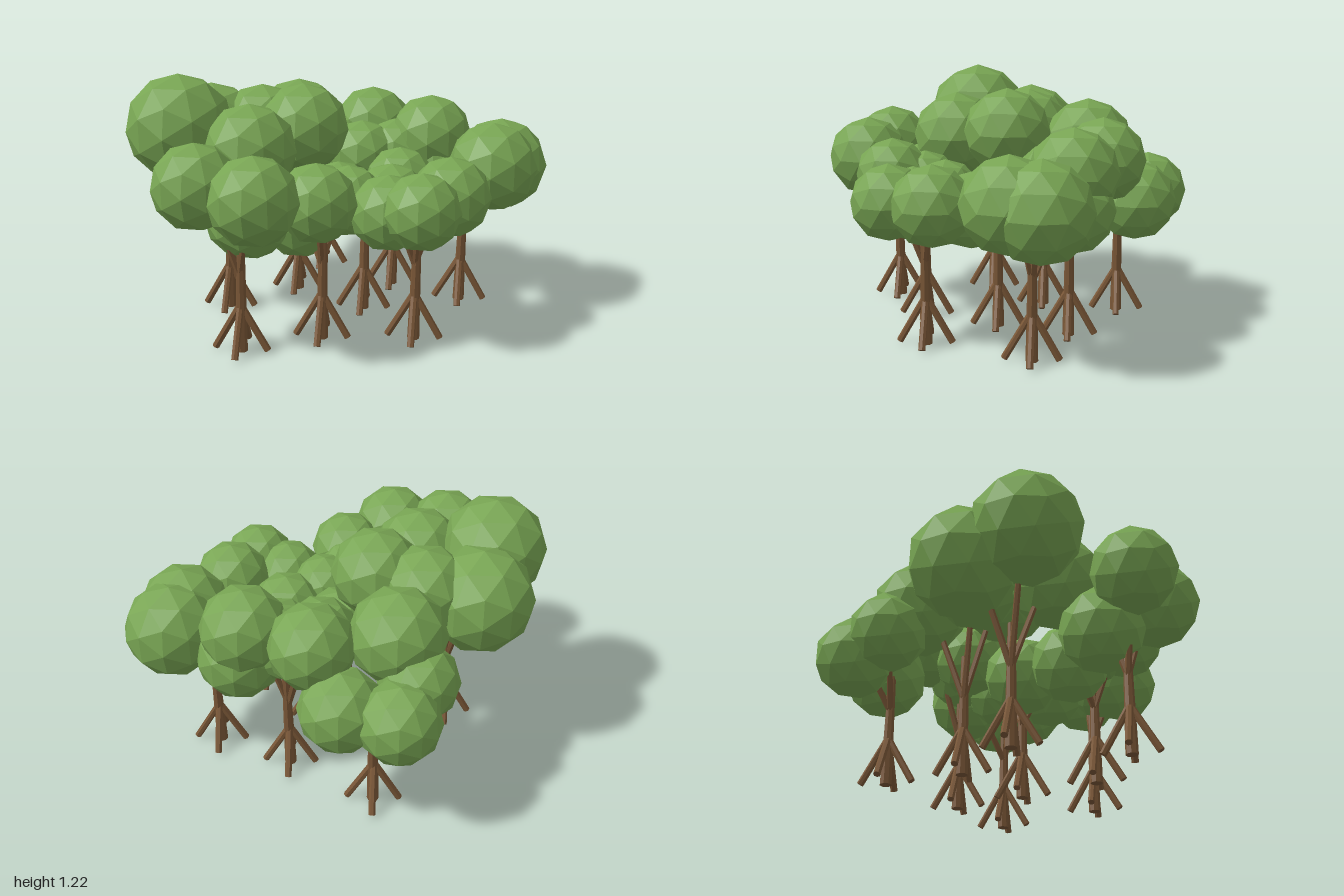
import * as THREE from 'three';

const leaf = new THREE.MeshStandardMaterial({ color: 0x78a553, flatShading: true });
leaf.name = 'leaf green';
const bark = new THREE.MeshStandardMaterial({ color: 0x7a5737, flatShading: true });
bark.name = 'bark brown';

// each tree: trunk [x, z] and its leaf clumps [x, y, z, radius]
const TREES = [
  { at: [-0.36, 0.58], clumps: [[-0.53, 0.81, 0.645, 0.2], [-0.25, 0.78, 0.715, 0.205], [-0.34, 0.63, 0.47, 0.205]] },
  { at: [-0.02, 0.38], clumps: [[-0.01, 0.73, 0.54, 0.185], [-0.14, 0.57, 0.29, 0.19], [0.09, 0.66, 0.26, 0.17],
    [-0.04, 0.68, 0.38, 0.17]] },
  { at: [0.41, 0.31], clumps: [[0.56, 0.7, 0.25, 0.19], [0.45, 0.69, 0.465, 0.18], [0.29, 0.65, 0.38, 0.18]] },
  { at: [-0.55, 0.09], clumps: [[-0.67, 0.86, -0.1, 0.26], [-0.74, 0.96, 0.2, 0.26], [-0.38, 0.88, 0.27, 0.225]] },
  { at: [0.12, 0], clumps: [[0.28, 0.64, -0.14, 0.18], [0.27, 0.62, 0.11, 0.185], [0, 0.59, 0.03, 0.19]] },
  { at: [-0.26, -0.2], clumps: [[-0.29, 0.86, -0.42, 0.23], [-0.18, 0.93, -0.015, 0.22], [-0.41, 0.9, -0.11, 0.22]] },
  { at: [0.22, -0.35], clumps: [[0.09, 0.84, -0.5, 0.205], [0.07, 0.74, -0.26, 0.18], [0.41, 0.83, -0.37, 0.21],
    [0.24, 0.74, -0.34, 0.18]] },
  { at: [0.59, -0.2], clumps: [[0.77, 0.73, -0.25, 0.23], [0.735, 0.75, -0.11, 0.22], [0.44, 0.67, -0.36, 0.205]] },
  { at: [-0.2, -0.58], clumps: [[-0.31, 0.62, -0.73, 0.195], [-0.05, 0.62, -0.66, 0.2], [-0.39, 0.7, -0.54, 0.19]] },
];

// tapered round limb running from point a to point b
function limb(name, a, b, rA, rB, sides) {
  const dir = b.clone().sub(a);
  const mesh = new THREE.Mesh(new THREE.CylinderGeometry(rB, rA, dir.length(), sides), bark);
  mesh.name = name;
  mesh.position.copy(a).add(b).multiplyScalar(0.5);
  mesh.quaternion.setFromUnitVectors(new THREE.Vector3(0, 1, 0), dir.normalize());
  return mesh;
}

function makeTree({ at: [x, z], clumps }) {
  const tree = new THREE.Group();
  tree.name = 'tree';
  tree.add(limb('trunk', new THREE.Vector3(x, 0.005, z), new THREE.Vector3(x + 0.01, 0.6, z), 0.029, 0.018, 8));

  // four prop roots spreading to the ground
  for (let i = 0; i < 4; i++) {
    const a = i * Math.PI / 2;
    const foot = new THREE.Vector3(x + Math.cos(a) * 0.125, 0.015, z + Math.sin(a) * 0.125);
    tree.add(limb('root', foot, new THREE.Vector3(x, 0.235, z), 0.017, 0.017, 7));
  }

  // one branch and one leaf clump for each entry
  for (const [cx, cy, cz, r] of clumps) {
    const fork = new THREE.Vector3(x, 0.38, z);
    const tip = new THREE.Vector3(x + (cx - x) * 0.75, cy, z + (cz - z) * 0.75);
    tree.add(limb('branch', fork, tip, 0.016, 0.013, 6));
    const clump = new THREE.Mesh(new THREE.IcosahedronGeometry(r, 1), leaf);
    clump.name = 'leafClump';
    clump.position.set(cx, cy, cz);
    tree.add(clump);
  }
  return tree;
}

export function createModel() {
  const grove = new THREE.Group();
  grove.name = 'grove';
  for (const t of TREES) grove.add(makeTree(t));
  return grove;
}
